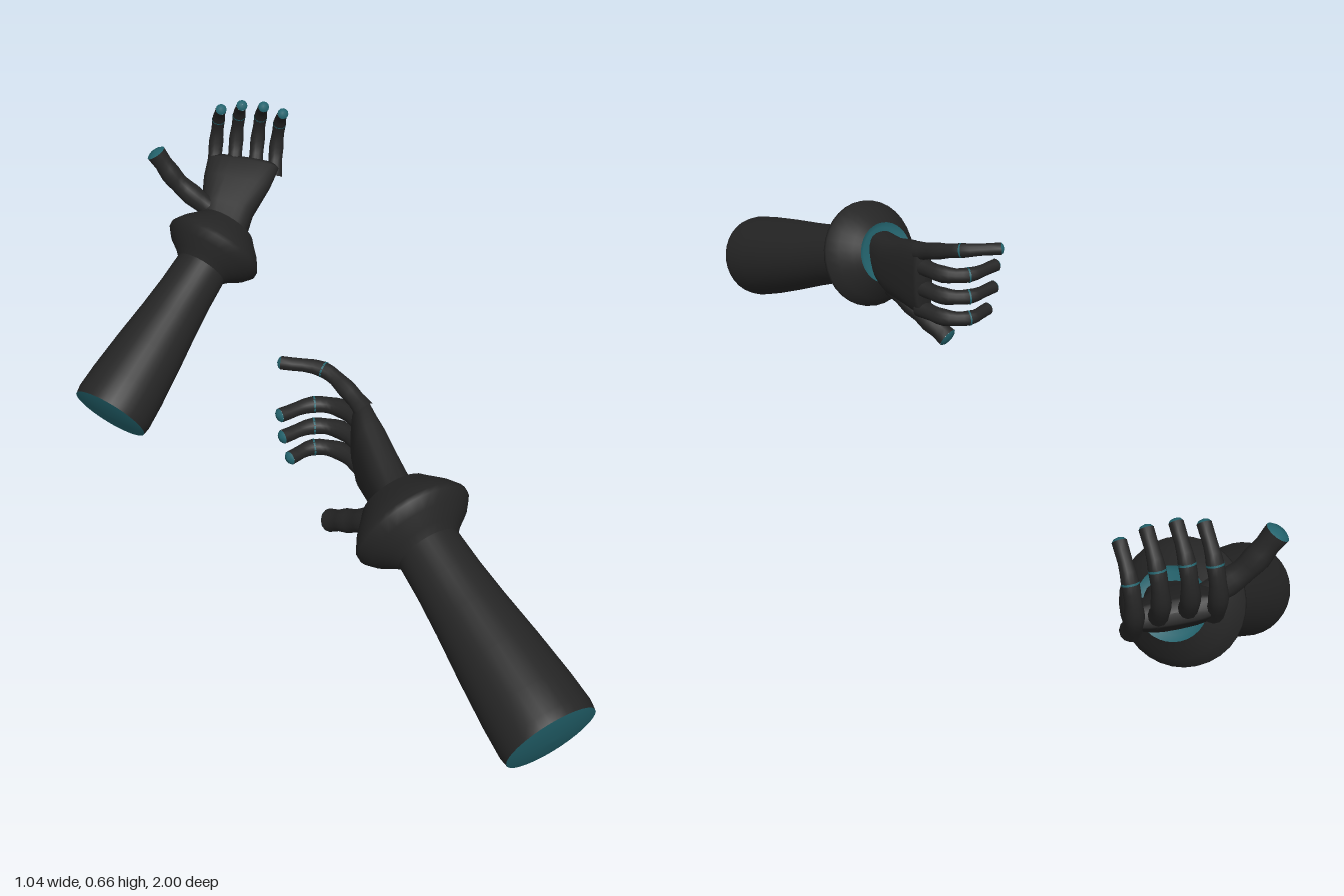
import * as THREE from 'three';

const V = (a) => new THREE.Vector3(...a);
const dark = new THREE.MeshStandardMaterial({ color: 0x252525 });
dark.name = 'charcoal';
const teal = new THREE.MeshStandardMaterial({ color: 0x23636d, side: THREE.DoubleSide });
teal.name = 'teal';

// Skin over rings {c, u, v}; power below 1 makes the section boxier
function loft(rings, sides = 14, power = 1) {
  const pos = [], idx = [];
  const soft = (t) => Math.sign(t) * Math.abs(t) ** power;
  rings.forEach(({ c, u, v }, i) => {
    for (let j = 0; j < sides; j++) {
      const a = (j / sides) * Math.PI * 2;
      const p = c.clone().addScaledVector(u, soft(Math.cos(a))).addScaledVector(v, soft(Math.sin(a)));
      pos.push(p.x, p.y, p.z);
      if (i === 0) continue;
      const k = (j + 1) % sides, lo = (i - 1) * sides, hi = i * sides;
      idx.push(lo + j, lo + k, hi + k, lo + j, hi + k, hi + j);
    }
  });
  const g = new THREE.BufferGeometry();
  g.setAttribute('position', new THREE.Float32BufferAttribute(pos, 3));
  g.setIndex(idx);
  g.computeVertexNormals();
  return g;
}

// Round rings along a path, with the frame carried from point to point
function tubeRings(points, radii) {
  let side = new THREE.Vector3(0.31, 0.47, 0.83);
  return points.map((c, i) => {
    const d = points[Math.min(i + 1, points.length - 1)].clone()
      .sub(points[Math.max(i - 1, 0)]).normalize();
    side = side.clone().addScaledVector(d, -side.dot(d)).normalize();
    const v = d.clone().cross(side);
    return { c, u: side.clone().multiplyScalar(radii[i]), v: v.multiplyScalar(radii[i]) };
  });
}

function add(group, name, geometry, material) {
  const m = new THREE.Mesh(geometry, material);
  m.name = name;
  group.add(m);
  return m;
}

// Tapered finger with a teal end and a thin joint band
function digit(group, name, path, r0, r1, banded) {
  const curve = new THREE.CatmullRomCurve3(path.map(V));
  const n = 12, pts = [], radii = [];
  for (let i = 0; i <= n; i++) {
    const t = i / n;
    pts.push(curve.getPoint(t));
    radii.push((r0 + (r1 - r0) * t) * (1 + 0.06 * Math.cos(t * Math.PI * 6)));
  }
  add(group, name, loft(tubeRings(pts, radii), 12), dark);
  const end = pts[n], dir = end.clone().sub(pts[n - 1]).normalize();
  add(group, name + 'End', loft(tubeRings(
    [end, end.clone().addScaledVector(dir, 0.005), end.clone().addScaledVector(dir, 0.008)],
    [radii[n], r1 * 0.75, 0.0001]), 12), teal);
  if (!banded) return;
  const mid = curve.getPoint(0.66), step = curve.getTangent(0.66).multiplyScalar(0.002);
  const r = (r0 + (r1 - r0) * 0.66) * 1.08;
  add(group, name + 'Band', loft(tubeRings([mid.clone().sub(step), mid.clone().add(step)], [r, r]), 12), teal);
}

// Palm from [centre, half width vector, half thickness]
function palm(group, sections) {
  const cs = sections.map((s) => V(s[0]));
  const rings = sections.map(([, w, th], i) => {
    const d = cs[Math.min(i + 1, cs.length - 1)].clone().sub(cs[Math.max(i - 1, 0)]);
    const u = V(w);
    return { c: cs[i], u, v: d.cross(u).setLength(th) };
  });
  const last = rings[rings.length - 1];
  const out = last.c.clone().sub(rings[rings.length - 2].c).setLength(0.012);
  const shrink = (k, f) => ({
    c: last.c.clone().addScaledVector(out, f),
    u: last.u.clone().multiplyScalar(k), v: last.v.clone().multiplyScalar(k),
  });
  rings.push(shrink(0.85, 0.8), shrink(0.0001, 1));
  add(group, 'palm', loft(rings, 24, 0.75), dark);
}

// Forearm and flared cuff, turned around the line from base to cuff
function sleeve(group, base, cuff) {
  const dir = V(cuff).sub(V(base)).normalize();
  const turned = (profile) => loft(tubeRings(
    profile.map(([s]) => V(base).addScaledVector(dir, s)), profile.map(([, r]) => r)), 32);
  add(group, 'forearm', turned([[0, 0.097], [0.02, 0.1], [0.08, 0.097], [0.18, 0.088],
    [0.28, 0.077], [0.36, 0.07], [0.445, 0.066]]), dark);
  add(group, 'cuff', turned([[0.435, 0.064], [0.452, 0.08], [0.473, 0.108], [0.494, 0.125],
    [0.504, 0.125], [0.53, 0.108], [0.555, 0.085], [0.57, 0.072]]), dark);
  add(group, 'cuffLining', turned([[0.57, 0.072], [0.563, 0.06], [0.555, 0.001]]), teal);
  add(group, 'sleeveEnd', turned([[-0.008, 0.0001], [-0.007, 0.04], [-0.004, 0.075], [0, 0.097]]), teal);
}

function nearArm() {
  const g = new THREE.Group();
  g.name = 'nearArm';
  sleeve(g, [0.435, 0.32, 0.945], [0.21, 0.5, 0.54]);
  palm(g, [
    [[0.185, 0.515, 0.5], [0, 0.055, 0.01], 0.04],
    [[0.165, 0.515, 0.43], [0, 0.068, 0.01], 0.04],
    [[0.14, 0.53, 0.36], [0, 0.083, 0], 0.036],
    [[0.125, 0.54, 0.3], [0, 0.09, 0], 0.024],
  ]);
  // Three curled fingers and one stretched out
  [[0.465, -0.02], [0.52, -0.035], [0.575, -0.04]].forEach(([y, x], i) =>
    digit(g, 'finger' + (i + 1), [[0.13, y, 0.31], [0.085, y, 0.25], [0.03, y, 0.235], [x, y, 0.27]],
      0.021, 0.014, true));
  digit(g, 'finger4', [[0.13, 0.61, 0.31], [0.095, 0.63, 0.26], [0.05, 0.648, 0.215], [-0.035, 0.653, 0.195]],
    0.021, 0.013, true);
  digit(g, 'thumb', [[0.165, 0.45, 0.46], [0.11, 0.4, 0.4], [0.06, 0.358, 0.345]], 0.027, 0.023, false);
  return g;
}

function farArm() {
  const g = new THREE.Group();
  g.name = 'farArm';
  sleeve(g, [-0.435, 0.09, -0.41], [-0.18, 0.34, -0.74]);
  palm(g, [
    [[-0.148, 0.375, -0.78], [0.055, -0.005, 0.02], 0.04],
    [[-0.135, 0.41, -0.84], [0.065, -0.01, 0.015], 0.04],
    [[-0.11, 0.45, -0.9], [0.083, -0.015, 0.01], 0.036],
    [[-0.092, 0.48, -0.945], [0.09, -0.012, 0.01], 0.024],
  ]);
  // Four fingers curling upward
  [[-0.168, -0.01], [-0.116, 0], [-0.062, -0.005], [-0.014, -0.025]].forEach(([x, dy], i) =>
    digit(g, 'finger' + (i + 1), [[x, 0.47 + dy, -0.935], [x + 0.006, 0.52 + dy, -0.972],
      [x + 0.012, 0.57 + dy, -0.98], [x + 0.018, 0.62 + dy, -0.962], [x + 0.023, 0.658 + dy, -0.92]],
      0.02, 0.013, true));
  digit(g, 'thumb', [[-0.16, 0.4, -0.83], [-0.255, 0.48, -0.85], [-0.31, 0.562, -0.86]], 0.027, 0.024, false);
  return g;
}

export function createModel() {
  const model = new THREE.Group();
  model.name = 'glovedArms';
  model.add(nearArm(), farArm());
  return model;
}
